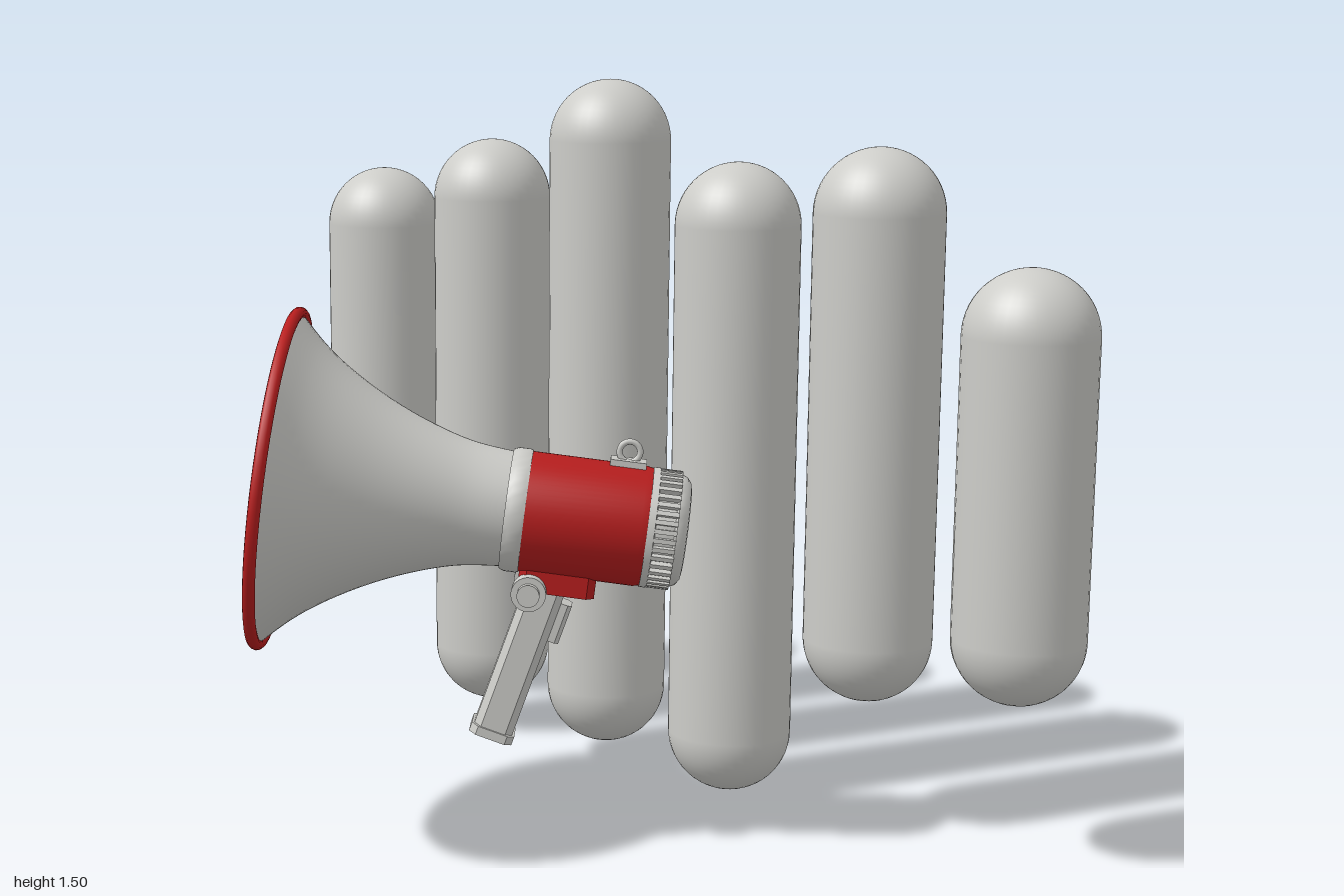
import * as THREE from 'three';
import { toCreasedNormals } from 'three/addons/utils/BufferGeometryUtils.js';

export function createModel() {
  const grey = new THREE.MeshStandardMaterial({ color: 0xcdcdc9 });
  grey.name = 'light grey';
  const red = new THREE.MeshStandardMaterial({ color: 0xb81e1e });
  red.name = 'red';
  const shell = new THREE.MeshStandardMaterial({ color: 0xcdcdc9, side: THREE.DoubleSide });
  shell.name = 'light grey shell';

  const model = new THREE.Group();
  model.name = 'megaphoneWithSoundBars';

  const add = (parent, name, geometry, material, x = 0, y = 0, z = 0) => {
    const mesh = new THREE.Mesh(geometry, material);
    mesh.name = name;
    mesh.position.set(x, y, z);
    parent.add(mesh);
    return mesh;
  };
  // Turned part along +z from [radius, z] pairs
  const turned = (pairs, crease = 0.6) => {
    const pts = pairs.map(([r, z]) => new THREE.Vector2(r, z));
    const g = new THREE.LatheGeometry(pts, 64).rotateX(Math.PI / 2);
    return toCreasedNormals(g, crease);
  };
  // Box with chamfered long edges, running along y and centred
  const post = (w, h, d, c) => {
    const s = new THREE.Shape([
      [-w / 2 + c, -d / 2], [w / 2 - c, -d / 2], [w / 2, -d / 2 + c], [w / 2, d / 2 - c],
      [w / 2 - c, d / 2], [-w / 2 + c, d / 2], [-w / 2, d / 2 - c], [-w / 2, -d / 2 + c],
    ].map(([x, y]) => new THREE.Vector2(x, y)));
    return new THREE.ExtrudeGeometry(s, { depth: h, bevelEnabled: false })
      .translate(0, 0, -h / 2).rotateX(-Math.PI / 2);
  };

  // Row of rounded sound bars: [bottom, top]
  const bars = new THREE.Group();
  bars.name = 'soundBars';
  model.add(bars);
  const R = 0.13;
  [[0.335, 1.275], [0.065, 1.355], [0.035, 1.495], [0, 1.335], [0.265, 1.38], [0.325, 1.17]]
    .forEach(([lo, hi], i) => {
      add(bars, 'soundBar' + (i + 1), new THREE.CapsuleGeometry(R, hi - lo - 2 * R, 14, 40), grey,
        -0.87 + i * 0.348, (lo + hi) / 2, -0.517);
    });

  // Megaphone: local +z points out of the horn, origin at the rear end
  const mega = new THREE.Group();
  mega.name = 'megaphone';
  mega.rotation.order = 'YXZ';
  mega.rotation.set(THREE.MathUtils.degToRad(-7), THREE.MathUtils.degToRad(-50), 0);
  mega.position.set(0.36, 0.65, -0.13);
  model.add(mega);

  // Flared horn and its rim
  const flare = new THREE.SplineCurve([
    [0.112, 0.345], [0.122, 0.43], [0.147, 0.515], [0.183, 0.6], [0.228, 0.68], [0.272, 0.74], [0.325, 0.795],
  ].map(([r, z]) => new THREE.Vector2(r, z))).getPoints(28);
  add(mega, 'horn', new THREE.LatheGeometry(flare, 72).rotateX(Math.PI / 2), shell);
  add(mega, 'hornRim', new THREE.TorusGeometry(0.324, 0.012, 12, 72), red, 0, 0, 0.795);

  // Inner driver inside the horn
  add(mega, 'innerDriver', turned([[0, 0.34], [0.075, 0.34], [0.066, 0.5], [0.054, 0.64], [0, 0.64]]), red);
  add(mega, 'driverTip', turned([[0, 0.635], [0.05, 0.635], [0.05, 0.652], [0.042, 0.664], [0, 0.668]]), grey);

  // Body and collar
  add(mega, 'body', turned([[0, 0.075], [0.114, 0.075], [0.117, 0.09], [0.117, 0.32], [0, 0.32]]), red);
  add(mega, 'collar', turned([[0, 0.312], [0.119, 0.312], [0.121, 0.318], [0.121, 0.34], [0.117, 0.35], [0, 0.35]]), grey);

  // Rear cap with grip ribs
  add(mega, 'rearCap', turned([
    [0, 0.004], [0.078, 0.004], [0.082, 0], [0.094, 0.002], [0.105, 0.01], [0.11, 0.022],
    [0.105, 0.026], [0.105, 0.062], [0.117, 0.064], [0.117, 0.078], [0, 0.078],
  ]), grey);
  const ribs = new THREE.Group();
  ribs.name = 'capRibs';
  mega.add(ribs);
  for (let i = 0; i < 40; i++) {
    const a = (i / 40) * Math.PI * 2;
    const rib = add(ribs, 'capRib', new THREE.BoxGeometry(0.014, 0.009, 0.044), grey,
      Math.cos(a) * 0.109, Math.sin(a) * 0.109, 0.043);
    rib.rotation.z = a;
  }

  // Strap loop on top
  add(mega, 'loopBase', new THREE.BoxGeometry(0.045, 0.014, 0.07), grey, 0, 0.12, 0.128);
  const loop = add(mega, 'strapLoop', new THREE.TorusGeometry(0.02, 0.006, 10, 28), grey, 0, 0.142, 0.128);
  loop.rotation.y = Math.PI / 2;

  // Bracket and hinge under the body
  add(mega, 'bracket', post(0.105, 0.06, 0.15, 0.015), red, 0, -0.117, 0.235);
  for (const side of [-1, 1]) {
    const knob = new THREE.Group();
    knob.name = side > 0 ? 'leftHinge' : 'rightHinge';
    knob.position.set(side * 0.06, -0.146, 0.286);
    mega.add(knob);
    const disc = add(knob, 'hingeDisc', new THREE.CylinderGeometry(0.034, 0.034, 0.035, 28), grey);
    const cap = add(knob, 'hingeCap', new THREE.CylinderGeometry(0.022, 0.022, 0.02, 24), grey, side * 0.022);
    disc.rotation.z = cap.rotation.z = Math.PI / 2;
  }

  // Slanted handle with trigger and foot
  const handle = new THREE.Group();
  handle.name = 'handle';
  handle.position.set(0, -0.14, 0.255);
  handle.rotation.x = -0.22;
  mega.add(handle);
  add(handle, 'grip', post(0.078, 0.31, 0.078, 0.014), grey, 0, -0.155, 0);
  add(handle, 'gripFoot', post(0.088, 0.018, 0.088, 0.014), grey, 0, -0.313, 0);
  add(handle, 'trigger', post(0.05, 0.08, 0.03, 0.008), grey, 0, -0.06, -0.046);

  return model;
}
